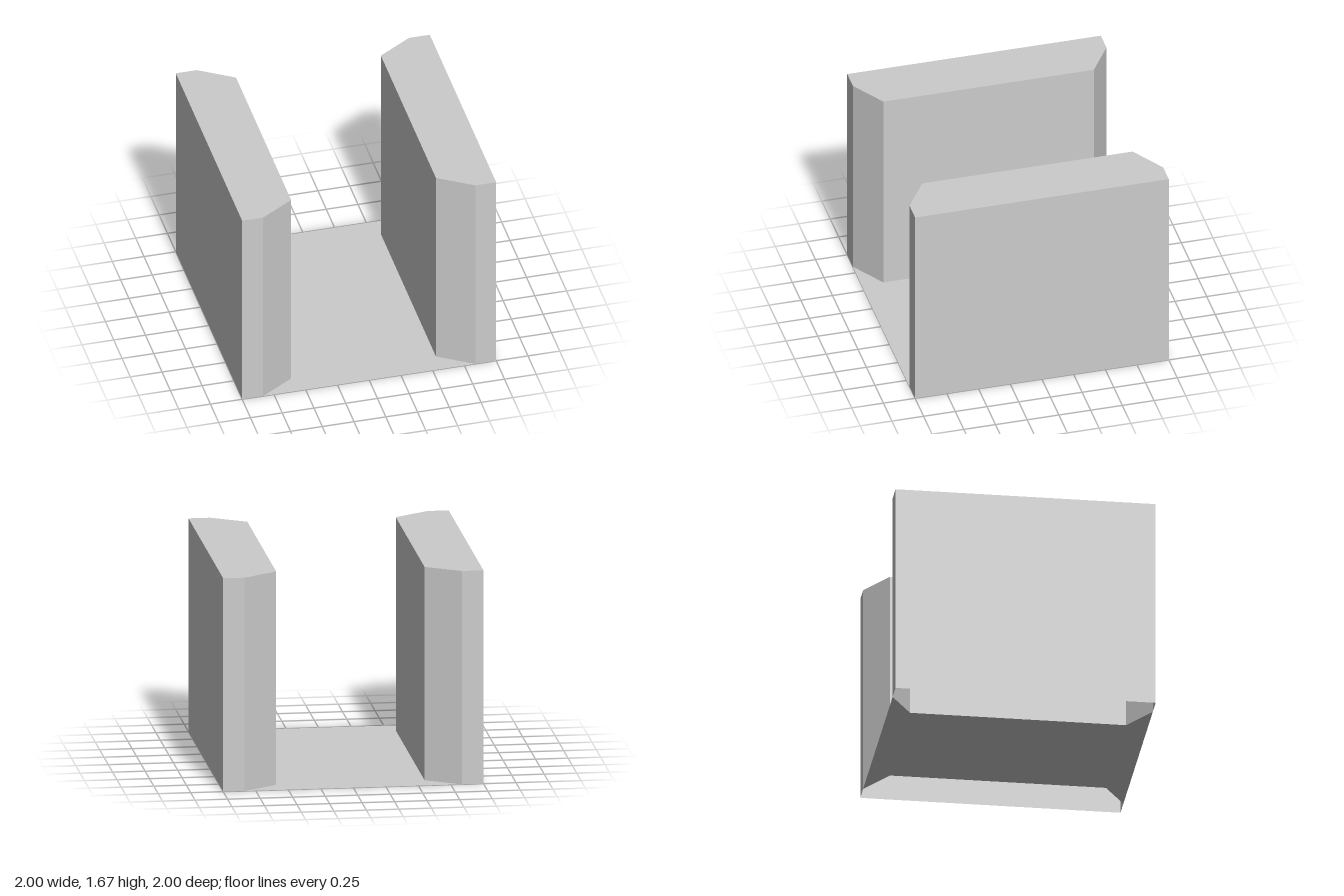
import * as THREE from 'three';

const OUTER = 1, CHAMFER_X = 0.835, INNER = 0.57; // x positions
const END = 1, SHOULDER = 0.83;                   // z positions
const HEIGHT = 1.67;

const material = new THREE.MeshStandardMaterial({
  color: 0xcccccc, flatShading: true, side: THREE.DoubleSide,
});

// Horizontal sheet from a plan outline of [x, -z] points
function sheet(outline, y, name) {
  const shape = new THREE.Shape(outline.map(([x, v]) => new THREE.Vector2(x, v)));
  const geometry = new THREE.ShapeGeometry(shape).rotateX(-Math.PI / 2);
  const mesh = new THREE.Mesh(geometry, material);
  mesh.position.y = y;
  mesh.name = name;
  return mesh;
}

// Upright faces around a counter-clockwise plan outline
function uprights(outline, name) {
  const positions = [];
  outline.forEach(([ax, av], i) => {
    const [bx, bv] = outline[(i + 1) % outline.length];
    positions.push(
      ax, 0, -av, bx, 0, -bv, bx, HEIGHT, -bv,
      ax, 0, -av, bx, HEIGHT, -bv, ax, HEIGHT, -av);
  });
  const geometry = new THREE.BufferGeometry();
  geometry.setAttribute('position', new THREE.Float32BufferAttribute(positions, 3));
  geometry.computeVertexNormals();
  const mesh = new THREE.Mesh(geometry, material);
  mesh.name = name;
  return mesh;
}

export function createModel() {
  const model = new THREE.Group();
  model.name = 'channel';

  // Inner edge of the left wall, from front to back
  const innerEdge = [[CHAMFER_X, -END], [INNER, -SHOULDER], [INNER, SHOULDER], [CHAMFER_X, END]];
  const mirrored = innerEdge.map(([x, v]) => [-x, v]);

  // Chamfered hollow walls, closed on top and open underneath
  const leftOutline = [...innerEdge].reverse().concat([[OUTER, -END], [OUTER, END]]);
  const rightOutline = leftOutline.map(([x, v]) => [-x, v]).reverse();
  for (const [side, outline] of [['left', leftOutline], ['right', rightOutline]]) {
    const wall = new THREE.Group();
    wall.name = side + 'Wall';
    wall.add(uprights(outline, side + 'WallSides'), sheet(outline, HEIGHT, side + 'WallTop'));
    model.add(wall);
  }

  // Thin floor filling the space between the walls
  model.add(sheet([...innerEdge, ...mirrored.reverse()], 0, 'floor'));
  return model;
}
